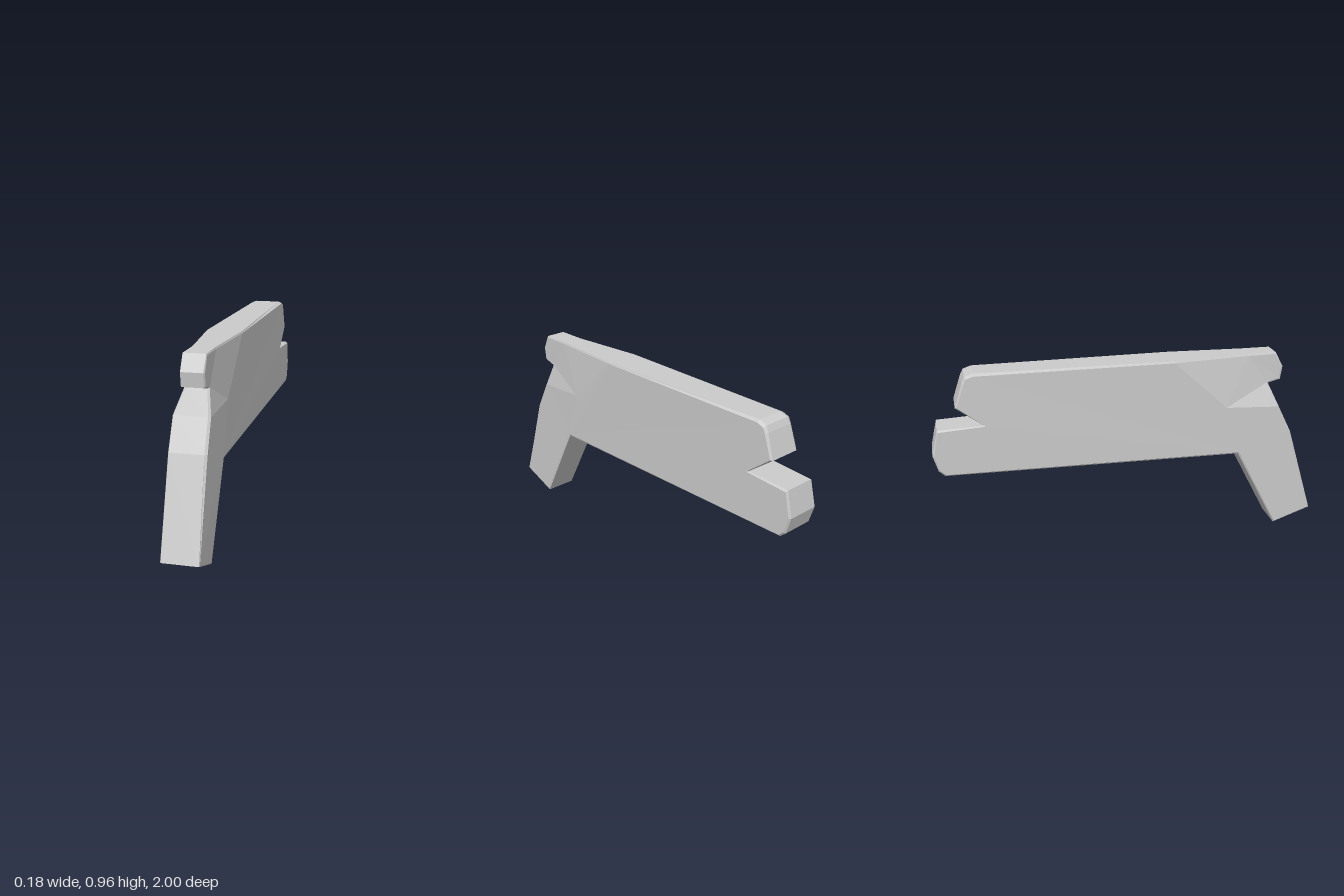
import * as THREE from 'three';

// Outline in side profile: [z, y, rim xMin, rim xMax, side xMin, side xMax]
const OUTLINE = [
  [1.0, 0.08, -0.087, 0.088, -0.09, 0.09],     // 0 grip foot, front
  [0.80, 0.005, -0.078, 0.087, -0.087, 0.09],  // 1 grip foot, back
  [0.575, 0.437, -0.085, 0.087, -0.09, 0.09],  // 2 grip meets underside
  [-0.945, 0.448, -0.08, 0.08, -0.09, 0.09],   // 3 lower tail lobe
  [-0.975, 0.475, -0.08, 0.08, -0.09, 0.09],
  [-1.0, 0.56, -0.083, 0.083, -0.09, 0.09],
  [-0.97, 0.69, -0.08, 0.08, -0.09, 0.09],
  [-0.74, 0.70, -0.08, 0.08, -0.09, 0.09],     // 7 tail notch
  [-0.875, 0.80, -0.08, 0.08, -0.09, 0.09],    // 8 upper tail lobe
  [-0.835, 0.92, -0.075, 0.075, -0.088, 0.088],
  [-0.82, 0.95, -0.07, 0.072, -0.088, 0.088],
  [-0.78, 0.965, -0.066, 0.07, -0.088, 0.088],
  [0.22, 0.967, -0.086, 0.086, -0.09, 0.09],   // 12 start of nose taper
  [0.62, 0.967, -0.042, 0.064, -0.046, 0.067], // 13 nose
  [0.77, 0.967, -0.042, 0.064, -0.045, 0.067],
  [0.81, 0.89, -0.043, 0.06, -0.046, 0.066],
  [0.80, 0.822, -0.043, 0.058, -0.046, 0.066],
  [0.735, 0.805, -0.043, 0.058, -0.048, 0.066], // 17 under the nose
  [0.785, 0.69, -0.085, 0.073, -0.09, 0.085],  // 18 grip front
  [0.86, 0.54, -0.086, 0.076, -0.09, 0.089],
];
const HUB = 20; // point on the flat side where the taper begins
const REGIONS = [
  [2, 3, 4, 5, 6, 7, 8, 9, 10, 11, 12, HUB],   // main flank
  [12, 13, HUB], [13, 17, HUB], [17, 18, HUB], // nose taper
  [13, 14, 15, 16, 17],                        // nose
  [18, 19, 0, 1, 2, HUB],                      // grip
];
const BEVEL = 0.009;

// Unit outward normal of an outline edge
function edgeNormal(a, b) {
  return new THREE.Vector2(a[1] - b[1], b[0] - a[0]).normalize();
}

// Four points across the thickness: side, rim, rim, side
function crossRow(p, i) {
  const n = OUTLINE.length;
  const m = edgeNormal(OUTLINE[(i + n - 1) % n], p)
    .add(edgeNormal(p, OUTLINE[(i + 1) % n])).normalize().multiplyScalar(BEVEL);
  const [z, y, r0, r1, s0, s1] = p;
  return [[s0, y - m.y, z - m.x], [r0, y, z], [r1, y, z], [s1, y - m.y, z - m.x]];
}

function bodyGeometry() {
  const rows = OUTLINE.map(crossRow);
  const pos = [];
  const tri = (a, b, c) => pos.push(...a, ...b, ...c);

  // Rim with narrow bevels
  rows.forEach((a, i) => {
    const b = rows[(i + 1) % rows.length];
    for (let k = 0; k < 3; k++) {
      tri(a[k], b[k], b[k + 1]);
      tri(a[k], b[k + 1], a[k + 1]);
    }
  });

  // Flat and tapering flanks on both sides
  rows.push([[-0.09, 0.7, 0.5], null, null, [0.09, 0.7, 0.5]]);
  for (const region of REGIONS) {
    for (const [k, sign] of [[0, -1], [3, 1]]) {
      const pts = region.map((i) => rows[i][k]);
      const flat = pts.map((p) => new THREE.Vector2(-p[2], p[1]));
      for (const [a, b, c] of THREE.ShapeUtils.triangulateShape(flat, [])) {
        const area = THREE.ShapeUtils.area([flat[a], flat[b], flat[c]]);
        if (area * sign > 0) tri(pts[a], pts[b], pts[c]);
        else tri(pts[a], pts[c], pts[b]);
      }
    }
  }
  const geometry = new THREE.BufferGeometry();
  geometry.setAttribute('position', new THREE.Float32BufferAttribute(pos, 3));
  geometry.computeVertexNormals();
  return geometry;
}

export function createModel() {
  const group = new THREE.Group();
  const material = new THREE.MeshStandardMaterial({ color: 0xcccccc, flatShading: true });
  const body = new THREE.Mesh(bodyGeometry(), material);
  body.name = 'bodyWithGrip';
  group.add(body);
  return group;
}
